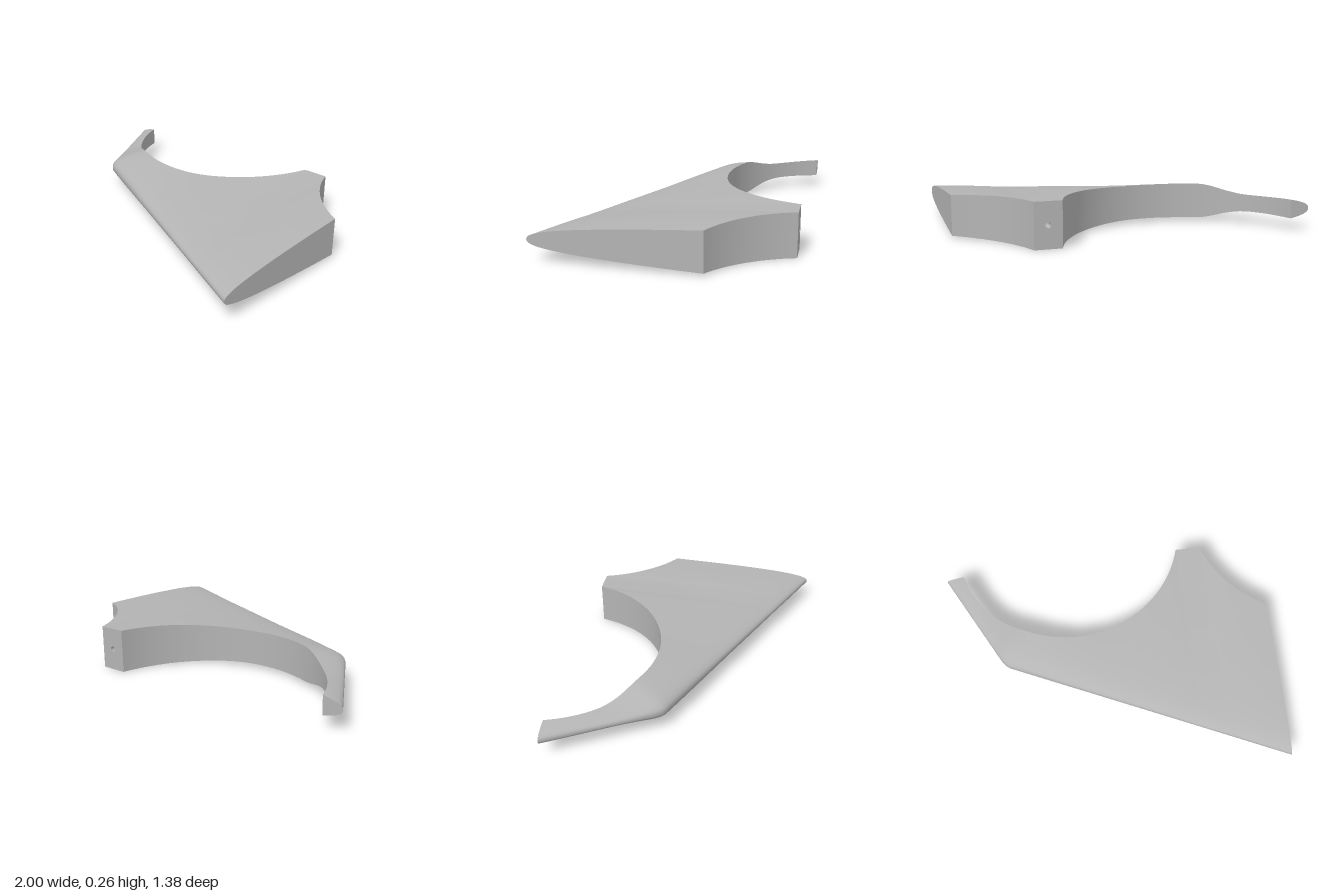
import * as THREE from 'three';

const MID = 0.128;          // height of the chord plane
const BACK = -0.69;         // rear plane
const R = 0.713, RZ = -0.888; // radius and centre depth of the round cutouts
const NV = 20;              // samples from nose to back edge

// Smooth interpolation through [x, y] pairs
function interp(t, x) {
  const slope = i => {
    const a = t[Math.max(i - 1, 0)], b = t[Math.min(i + 1, t.length - 1)];
    return (b[1] - a[1]) / (b[0] - a[0]);
  };
  let i = 0;
  while (i < t.length - 2 && x > t[i + 1][0]) i++;
  const w = t[i + 1][0] - t[i][0], s = (x - t[i][0]) / w, s2 = s * s, s3 = s2 * s;
  return (2 * s3 - 3 * s2 + 1) * t[i][1] + (s3 - 2 * s2 + s) * w * slope(i)
    + (3 * s2 - 2 * s3) * t[i + 1][1] + (s3 - s2) * w * slope(i + 1);
}

// Back-edge x -> leading-edge x
const FRONT_X = [[-0.885, -1], [-0.78, -0.86], [-0.67, -0.74], [-0.58, -0.685], [-0.5, -0.61],
  [-0.4, -0.45], [-0.2, -0.2], [0, 0], [0.485, 0.485], [0.64, 0.64], [1, 1]];
// Back-edge x -> half thickness
const HALF = [[-0.885, 0.055], [-0.8, 0.051], [-0.72, 0.053], [-0.65, 0.069], [-0.6, 0.085],
  [-0.55, 0.099], [-0.5, 0.105], [-0.2, 0.104], [0, 0.105], [0.3, 0.119], [0.485, 0.128],
  [0.64, 0.128], [0.8, 0.124], [1, 0.114]];

// Swept leading edge with a bevelled corner at the winglet
function frontZ(x) {
  const wing = 0.69 - 0.455 * (1 - x), tip = -0.69 + 1.875 * (x + 1);
  const d = Math.max(0.04 - Math.abs(wing - tip), 0);
  return Math.min(wing, tip) - d * d / 0.16;
}

function backZ(x) {
  if (x >= 0.485 && x <= 0.64) return BACK;
  const dx = x < 0.485 ? x + 0.2 : x - 1.325;
  return RZ + Math.sqrt(R * R - dx * dx);
}

// One cross-section, from lower back edge round the nose to upper back edge
function section(b) {
  const fx = interp(FRONT_X, b), fz = frontZ(fx), bz = backZ(b);
  const h = Math.min(interp(HALF, b), MID), pts = [];
  for (let k = -NV; k <= NV; k++) {
    const v = k / NV, u = Math.abs(v) ** 2.5;
    pts.push([fx + (b - fx) * u, MID + h * v, fz + (bz - fz) * u]);
  }
  return pts;
}

// Skin a grid of points given as rows
function grid(rows) {
  const n = rows[0].length, index = [];
  for (let i = 0; i < rows.length - 1; i++) {
    for (let j = 0; j < n - 1; j++) {
      const a = i * n + j, b = a + n;
      index.push(a, b, b + 1, a, b + 1, a + 1);
    }
  }
  const g = new THREE.BufferGeometry();
  g.setAttribute('position', new THREE.Float32BufferAttribute(rows.flat(2), 3));
  g.setIndex(index);
  g.computeVertexNormals();
  return g;
}

// Back-edge x values evenly spaced by angle along a cutout
function arcStations(cx, x0, x1, n) {
  const a0 = Math.acos((x0 - cx) / R), a1 = Math.acos((x1 - cx) / R);
  return Array.from({ length: n + 1 }, (_, i) =>
    i === 0 ? x0 : i === n ? x1 : cx + R * Math.cos(a0 + (a1 - a0) * i / n));
}

export function createModel() {
  const group = new THREE.Group();
  const grey = new THREE.MeshStandardMaterial({ color: 0xb4b4b4 });
  grey.name = 'grey';
  const add = (name, geometry) => {
    const m = new THREE.Mesh(geometry, grey);
    m.name = name;
    group.add(m);
    return m;
  };

  const big = arcStations(-0.2, -0.885, 0.485, 64).map(section);
  const post = [0.485, 0.5367, 0.5883, 0.64].map(section);
  const small = arcStations(1.325, 0.64, 1, 18).map(section);

  // Upper and lower skin with rounded leading edge
  add('wingSkin', grid([...big, ...post.slice(1), ...small.slice(1)]));

  // Round cutout walls along the back
  const wall = rows => grid(rows.map(r => [r[0], r[2 * NV]]).reverse());
  add('largeCutoutWall', wall(big));
  add('smallCutoutWall', wall(small));

  // Flat caps: winglet tip and root
  const cap = s => Array.from({ length: NV + 1 }, (_, k) => [s[NV - k], s[NV + k]]);
  add('wingletTipCap', grid(cap(big[0]).reverse()));
  add('rootCap', grid(cap(small[small.length - 1])));

  // Rear mounting face with a blind pin hole
  const cx = 0.5625, w = 0.0775, r = 0.016, depth = 0.2;
  const face = new THREE.Shape([[-w, -MID], [w, -MID], [w, MID], [-w, MID]]
    .map(p => new THREE.Vector2(...p)));
  face.holes.push(new THREE.Path().absarc(0, 0, r, 0, Math.PI * 2, true));
  const rear = add('mountingFace', new THREE.ShapeGeometry(face, 12));
  rear.rotation.y = Math.PI;
  rear.position.set(cx, MID, BACK);

  const bore = new THREE.CylinderGeometry(r, r, depth, 24, 1, true);
  bore.rotateX(Math.PI / 2);
  bore.scale(-1, 1, 1);
  const idx = bore.index.array; // mirrored inward: bore shows its inside
  for (let i = 0; i < bore.attributes.normal.count; i++) {
    const n = bore.attributes.normal;
    n.setXYZ(i, -n.getX(i), -n.getY(i), -n.getZ(i));
  }
  bore.setIndex(Array.from(idx));
  add('pinHole', bore).position.set(cx, MID, BACK + depth / 2);

  const end = add('pinHoleEnd', new THREE.CircleGeometry(r, 24));
  end.rotation.y = Math.PI;
  end.position.set(cx, MID, BACK + depth);
  return group;
}
